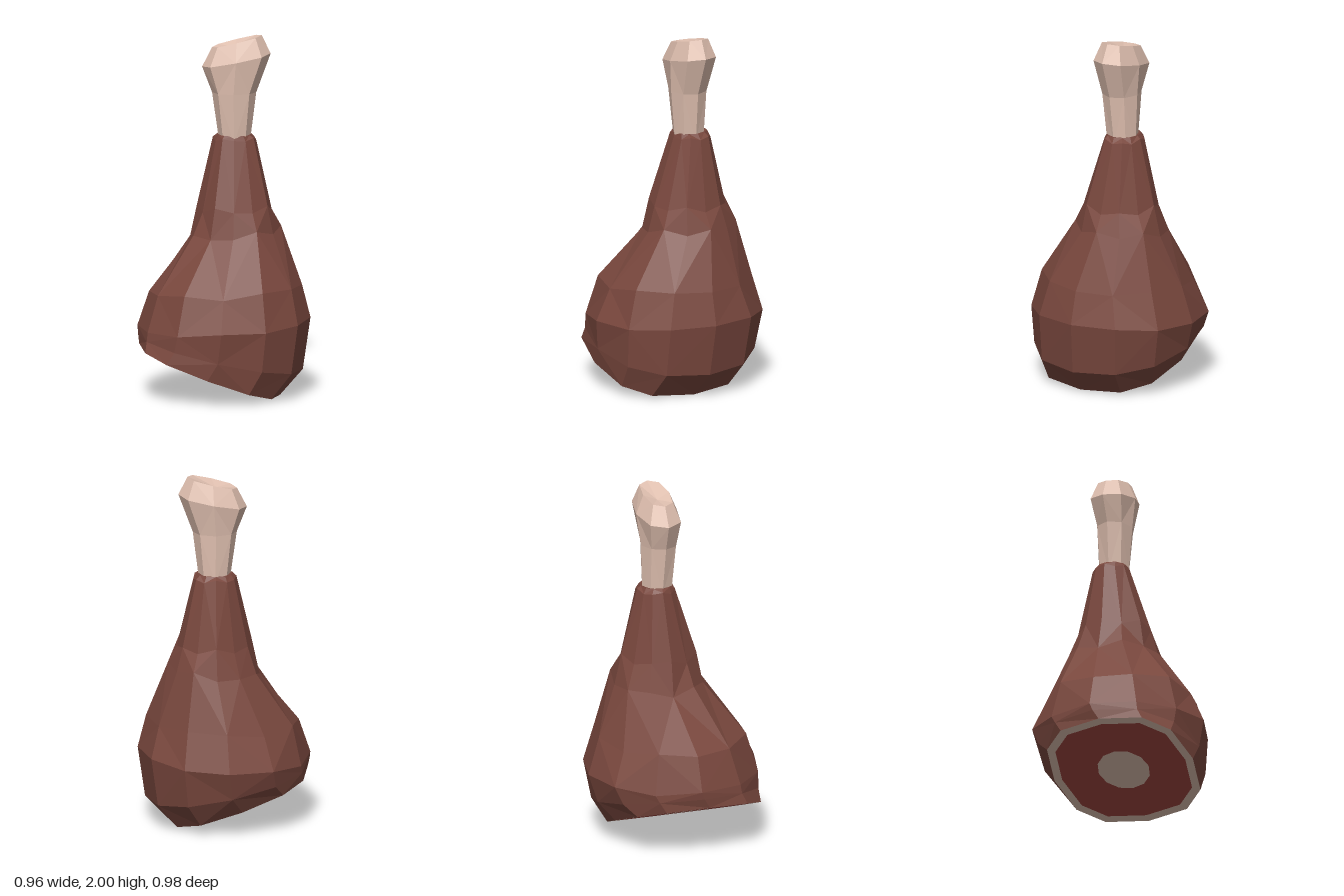
import * as THREE from 'three';

// Ring: centre height y, x range, z range, slope of y along x, squareness (2 = ellipse), unevenness
function ring(sides, y, [x0, x1], [z0, z1], slope = 0, power = 2, uneven = 0) {
  const cx = (x0 + x1) / 2, cz = (z0 + z1) / 2, points = [];
  const bend = v => Math.sign(v) * Math.abs(v) ** (2 / power);
  for (let i = 0; i < sides; i++) {
    const a = i / sides * Math.PI * 2;
    const wobble = Math.sin(i * 2.4 + y * 17);
    const r = 1 + uneven * wobble;
    const dx = bend(Math.cos(a)) * (x1 - x0) / 2 * r;
    const dz = bend(Math.sin(a)) * (z1 - z0) / 2 * r;
    points.push(new THREE.Vector3(cx + dx, y + slope * dx + uneven * wobble, cz + dz));
  }
  return points;
}

// Faceted skin through a list of rings, ordered from the bottom centre outwards and up
function loft(name, color, rings) {
  const verts = [], tri = new THREE.Triangle();
  const add = (a, b, c) => {
    if (tri.set(a, b, c).getArea() > 1e-7) verts.push(...a.toArray(), ...b.toArray(), ...c.toArray());
  };
  for (let k = 0; k < rings.length - 1; k++) {
    const low = rings[k], high = rings[k + 1], n = low.length;
    for (let i = 0; i < n; i++) {
      const j = (i + 1) % n, A = low[i], B = low[j], C = high[i], D = high[j];
      if ((i + k) % 2) { add(A, C, B); add(B, C, D); }
      else { add(A, D, B); add(A, C, D); }
    }
  }
  const geometry = new THREE.BufferGeometry();
  geometry.setAttribute('position', new THREE.Float32BufferAttribute(verts, 3));
  geometry.computeVertexNormals();
  const mesh = new THREE.Mesh(geometry, new THREE.MeshStandardMaterial({ color, flatShading: true }));
  mesh.name = name;
  return mesh;
}

export function createModel() {
  const group = new THREE.Group();
  group.name = 'meatLeg';
  const MEAT = 0x7a483e, BONE = 0xe0c0b0, FLESH = 0xa04640;
  const N = 12;

  // Slanted cut face: concentric outlines in one plane
  const cut = s => ring(N, 0.1425, [-0.08 - 0.39 * s, -0.08 + 0.39 * s],
    [0.05 - 0.41 * s, 0.05 + 0.41 * s], -0.365, s > 0.5 ? 2.6 : 2);
  group.add(loft('cutBone', BONE, [cut(0), cut(0.36)]));
  group.add(loft('cutFlesh', FLESH, [cut(0.36), cut(0.89)]));
  group.add(loft('cutRim', BONE, [cut(0.89), cut(1)]));

  // Meat: bulging thigh narrowing to a collar that closes around the bone
  group.add(loft('meat', MEAT, [
    cut(1),
    ring(N, 0.24, [-0.478, 0.435], [-0.44, 0.475], -0.22, 2.2),
    ring(N, 0.4, [-0.478, 0.475], [-0.488, 0.49], 0.05, 2.1, 0.008),
    ring(N, 0.6, [-0.42, 0.435], [-0.42, 0.42], 0.05, 2, 0.015),
    ring(N, 0.9, [-0.2, 0.31], [-0.315, 0.2], 0.1, 2, 0.02),
    ring(N, 1.04, [-0.15, 0.265], [-0.265, 0.16], 0, 2, 0.02),
    ring(N, 1.42, [-0.065, 0.175], [-0.175, 0.035], 0, 2.2, 0.01),
    ring(N, 1.445, [-0.045, 0.15], [-0.155, 0.025], 0, 2.2),
    ring(N, 1.425, [0.05, 0.05], [-0.06, -0.06]),
  ]));

  // Bone: shaft flaring into a two-knobbed end with a dip between
  group.add(loft('bone', BONE, [
    ring(8, 1.4, [-0.03, 0.14], [-0.145, 0.028]),
    ring(8, 1.68, [-0.07, 0.175], [-0.155, 0.05]),
    ring(8, 1.86, [-0.125, 0.255], [-0.178, 0.063], 0.2, 2.4),
    ring(8, 1.965, [-0.07, 0.205], [-0.135, 0.018], 0.25, 2.6),
    ring(8, 1.935, [0.05, 0.05], [-0.06, -0.06]),
  ]));
  return group;
}
